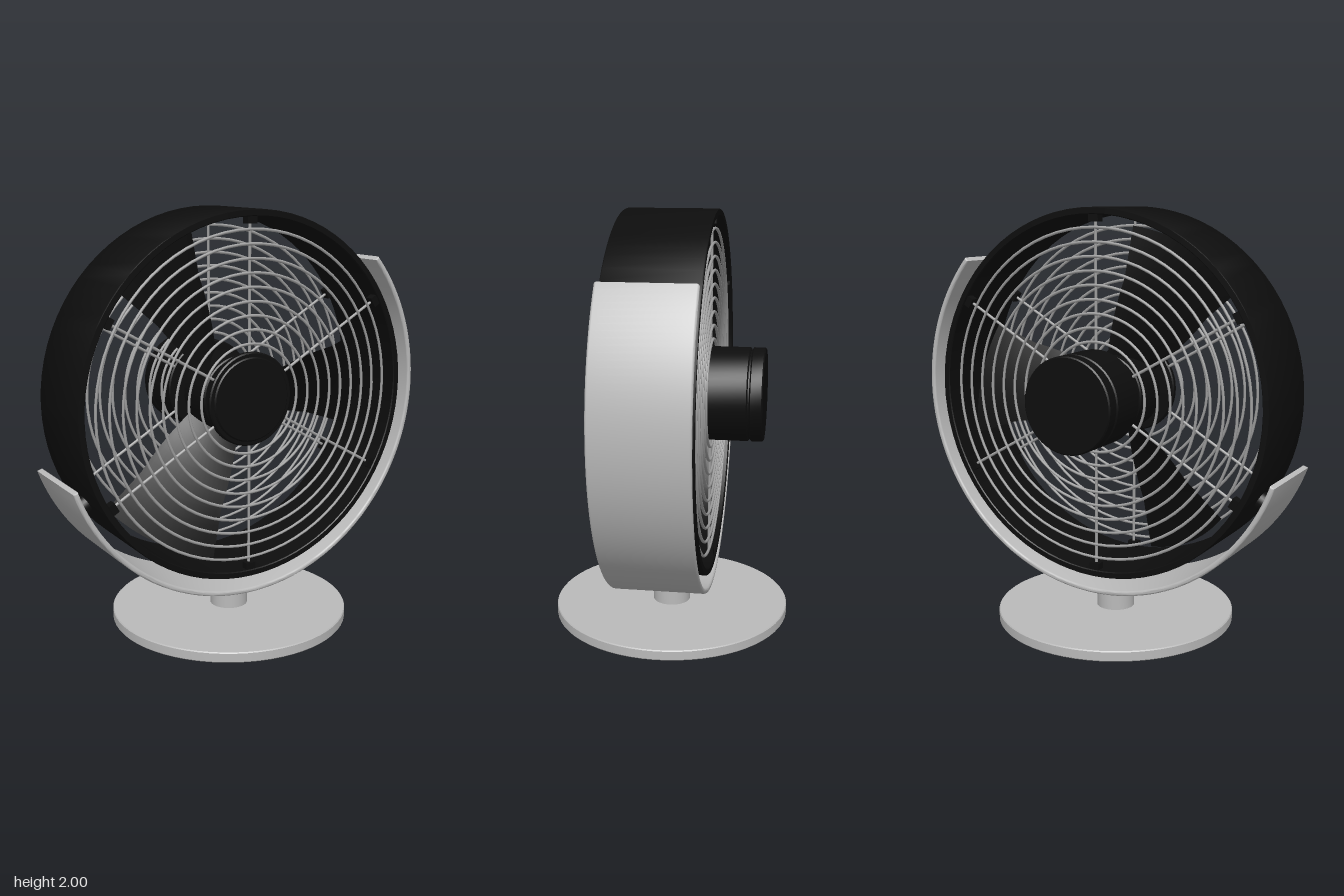
import * as THREE from 'three';
import { toCreasedNormals } from 'three/addons/utils/BufferGeometryUtils.js';

const mat = (name, color, side = THREE.FrontSide) => {
  const m = new THREE.MeshStandardMaterial({ color, side });
  m.name = name;
  return m;
};
const deg = THREE.MathUtils.degToRad;

export function createModel() {
  const black = mat('black', 0x0d0d0d);
  const bladeBlack = mat('bladeBlack', 0x0d0d0d, THREE.DoubleSide);
  const silver = mat('silver', 0xbababa);
  const wire = mat('wireGrey', 0xa0a0a0);

  const model = new THREE.Group();
  model.name = 'deskFan';
  const fan = new THREE.Group();
  fan.name = 'fanHead';
  fan.position.set(-0.03, 1.13, 0);
  model.add(fan);

  const add = (parent, name, geo, material, x = 0, y = 0, z = 0) => {
    const m = new THREE.Mesh(geo, material);
    m.name = name;
    m.position.set(x, y, z);
    parent.add(m);
    return m;
  };
  // Solid of revolution, from [radius, height] points, with sharp corners kept
  const lathe = (pts, seg = 64) =>
    toCreasedNormals(new THREE.LatheGeometry(pts.map(p => new THREE.Vector2(...p)), seg), deg(35));
  // Disc facing z, between two depths
  const disc = (name, r, z0, z1, bevel = 0.006) => add(fan, name,
    lathe([[0, z0], [r - bevel, z0], [r, z0 + bevel], [r, z1 - bevel], [r - bevel, z1], [0, z1]], 48)
      .rotateX(Math.PI / 2), black);

  // Base plate with a bolt hole underneath, and the stem
  add(model, 'base', lathe([[0.075, 0.048], [0.075, 0], [0.577, 0], [0.58, 0.004], [0.58, 0.045],
    [0.576, 0.05], [0.07, 0.05]]), silver, -0.03);
  add(model, 'stem', lathe([[0, 0.035], [0.092, 0.035], [0.092, 0.118], [0.097, 0.12],
    [0.097, 0.185], [0, 0.185]], 40), silver, -0.03);

  // Curved cradle that carries the fan
  const a0 = deg(199.5), a1 = deg(400.5);
  const arc = new THREE.Shape();
  arc.absarc(0, 0, 0.947, a0, a1, false);
  arc.absarc(0, 0, 0.938, a1, a0, true);
  arc.closePath();
  const cradle = new THREE.ExtrudeGeometry(arc, {
    depth: 0.414, curveSegments: 56, bevelEnabled: true,
    bevelSize: 0.008, bevelThickness: 0.01, bevelSegments: 3,
  });
  add(fan, 'cradle', toCreasedNormals(cradle.translate(0, 0, -0.207), deg(40)), silver);

  // Cylindrical housing
  add(fan, 'housing', lathe([[0.838, -0.212], [0.842, -0.217], [0.867, -0.217], [0.87, -0.212],
    [0.87, 0.212], [0.867, 0.217], [0.842, 0.217], [0.838, 0.212], [0.838, -0.212]], 80)
    .rotateX(Math.PI / 2), black);

  // Pivots between housing and cradle
  for (const a of [30, 210]) {
    const pivot = new THREE.Group();
    pivot.name = 'pivot';
    pivot.rotation.z = deg(a);
    fan.add(pivot);
    add(pivot, 'pivotCollar', new THREE.CylinderGeometry(0.045, 0.045, 0.06, 28).rotateZ(Math.PI / 2), black, 0.875);
    add(pivot, 'pivotPin', new THREE.CylinderGeometry(0.05, 0.05, 0.04, 28).rotateZ(Math.PI / 2), silver, 0.922);
  }

  // Front and back grilles: rings, spokes and clips
  for (const side of [1, -1]) {
    const grille = new THREE.Group();
    grille.name = side > 0 ? 'frontGrille' : 'backGrille';
    grille.position.z = side * 0.195;
    fan.add(grille);
    for (let i = 0; i < 9; i++) {
      add(grille, 'grilleRing', new THREE.TorusGeometry(0.26 + i * 0.065, 0.007, 6, 72), wire);
    }
    for (let i = 0; i < 6; i++) {
      const arm = new THREE.Group();
      arm.name = 'grilleArm';
      arm.rotation.z = deg(30 + i * 60);
      grille.add(arm);
      add(arm, 'spoke', new THREE.CylinderGeometry(0.007, 0.007, 0.65, 8).rotateZ(Math.PI / 2), wire, 0.515, 0, -side * 0.008);
      add(arm, 'clip', new THREE.BoxGeometry(0.04, 0.05, 0.04), black, 0.825, 0, -side * 0.005);
    }
  }

  // Hub cap, rotor and rear motor
  disc('hubCap', 0.222, 0.175, 0.206);
  disc('hubCapFace', 0.2, 0.2, 0.214);
  disc('rotorHub', 0.19, -0.1, 0.1);
  disc('shaft', 0.04, -0.2, 0.19);
  disc('motorHousing', 0.225, -0.38, -0.18);
  disc('motorNeck', 0.215, -0.4, -0.37);
  disc('motorCap', 0.225, -0.45, -0.387);

  // Three twisted blades, wider at the tip
  for (let i = 0; i < 3; i++) {
    const geo = new THREE.PlaneGeometry(1, 1, 8, 16);
    const p = geo.attributes.position;
    for (let k = 0; k < p.count; k++) {
      const t = p.getX(k) + 0.5, s = p.getY(k) * 2;
      const r = 0.16 + t * 0.64;
      const ang = s * deg(27 - 7.5 * Math.min(1, t * 1.6));
      p.setXYZ(k, r * Math.cos(ang), r * Math.sin(ang), s * 0.1);
    }
    geo.computeVertexNormals();
    add(fan, 'blade', geo, bladeBlack).rotation.z = deg(i * 120);
  }
  return model;
}
